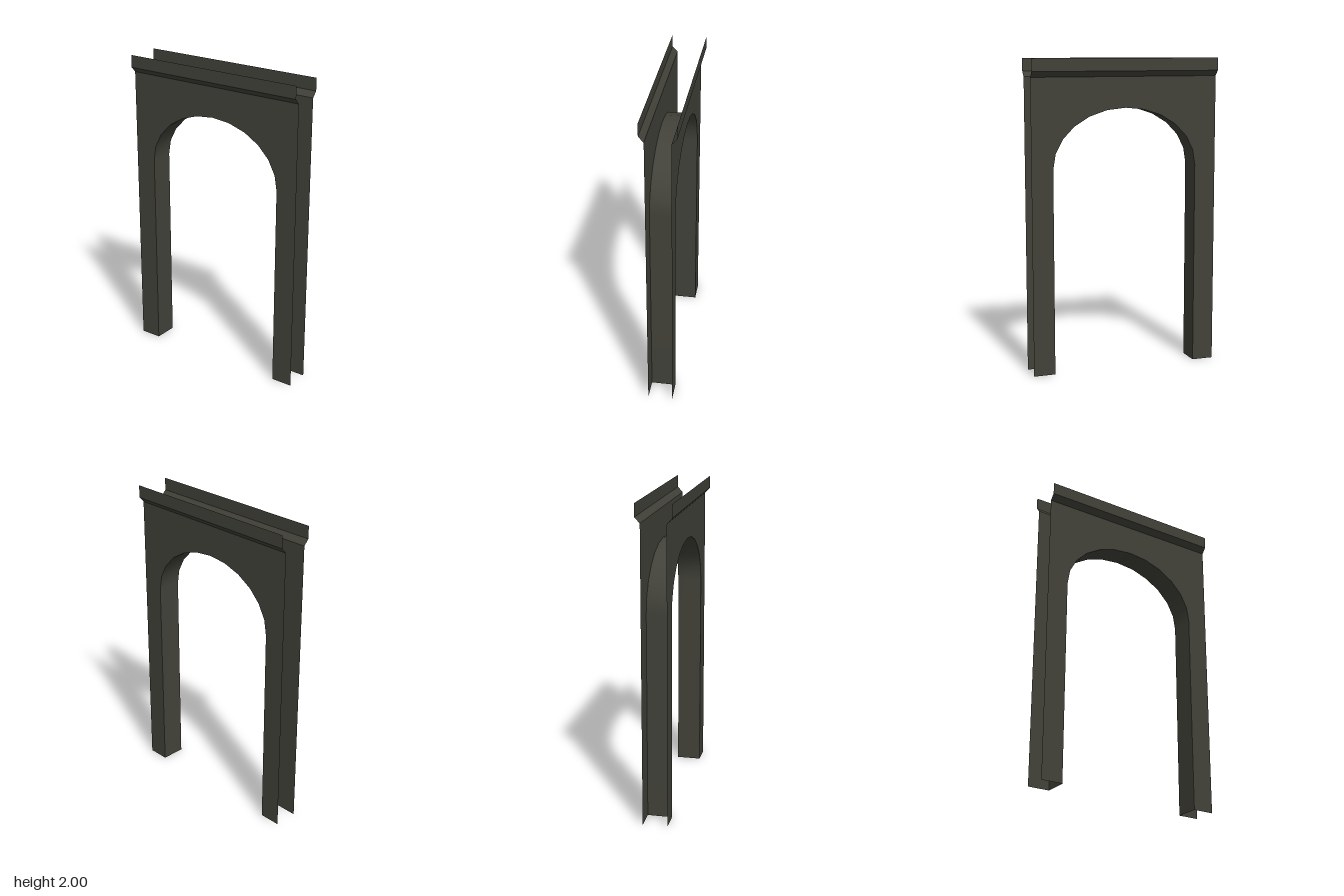
import * as THREE from 'three';

const HALF_W = 0.618, OPEN = 0.478, SPRING = 1.315, RISE = 0.375;
const WALL_TOP = 1.885, WALL_Z = 0.078, LIP_Z = 0.11;

// Outline of the opening, from the right foot (+x) over the arch to the left foot
function openingPoints() {
  const pts = [[OPEN, 0]];
  for (let i = 0; i <= 12; i++) {
    const a = (i / 12) * Math.PI;
    pts.push([OPEN * Math.cos(a), SPRING + RISE * Math.sin(a)]);
  }
  pts.push([-OPEN, 0]);
  return pts;
}

// Smooth ribbon that follows 2D points and spans the depth between the walls
function ribbon(points, z) {
  const pos = [], index = [];
  points.forEach(([x, y], i) => {
    pos.push(x, y, z, x, y, -z);
    if (i) {
      const a = 2 * i - 2;
      index.push(a, a + 2, a + 1, a + 1, a + 2, a + 3);
    }
  });
  const g = new THREE.BufferGeometry();
  g.setAttribute('position', new THREE.Float32BufferAttribute(pos, 3));
  g.setIndex(index);
  g.computeVertexNormals();
  return g;
}

// Flat strip across the full width between two (y, z) edges
function strip(y0, z0, y1, z1) {
  const g = new THREE.PlaneGeometry(2 * HALF_W, Math.hypot(y1 - y0, z1 - z0));
  g.rotateX(Math.atan2(z1 - z0, y1 - y0));
  g.translate(0, (y0 + y1) / 2, (z0 + z1) / 2);
  return g;
}

export function createModel() {
  const stone = new THREE.MeshStandardMaterial({ color: 0x42423a, side: THREE.DoubleSide });
  stone.name = 'darkStone';
  const model = new THREE.Group();
  model.name = 'archway';
  const add = (parent, name, geometry) => {
    const m = new THREE.Mesh(geometry, stone);
    m.name = name;
    parent.add(m);
  };

  const opening = openingPoints();

  // Wall sheet with the arched opening cut up from the ground
  const outline = [[-HALF_W, 0], [-OPEN, 0], ...opening.slice(1, -1).reverse(),
    [OPEN, 0], [HALF_W, 0], [HALF_W, WALL_TOP], [-HALF_W, WALL_TOP]];
  const wall = new THREE.ShapeGeometry(
    new THREE.Shape(outline.map(([x, y]) => new THREE.Vector2(x, y))));
  wall.translate(0, 0, WALL_Z);

  // Matching front and back faces, each with a flared cornice
  for (const side of ['front', 'back']) {
    const face = new THREE.Group();
    face.name = side + 'Face';
    add(face, side + 'Wall', wall);
    add(face, side + 'CorniceSlope', strip(WALL_TOP, WALL_Z, 1.92, LIP_Z));
    add(face, side + 'CorniceLip', strip(1.92, LIP_Z, 2, LIP_Z));
    if (side === 'back') face.rotation.y = Math.PI;
    model.add(face);
  }

  // Lining of the opening
  add(model, 'archLining', ribbon(opening, WALL_Z));
  return model;
}
